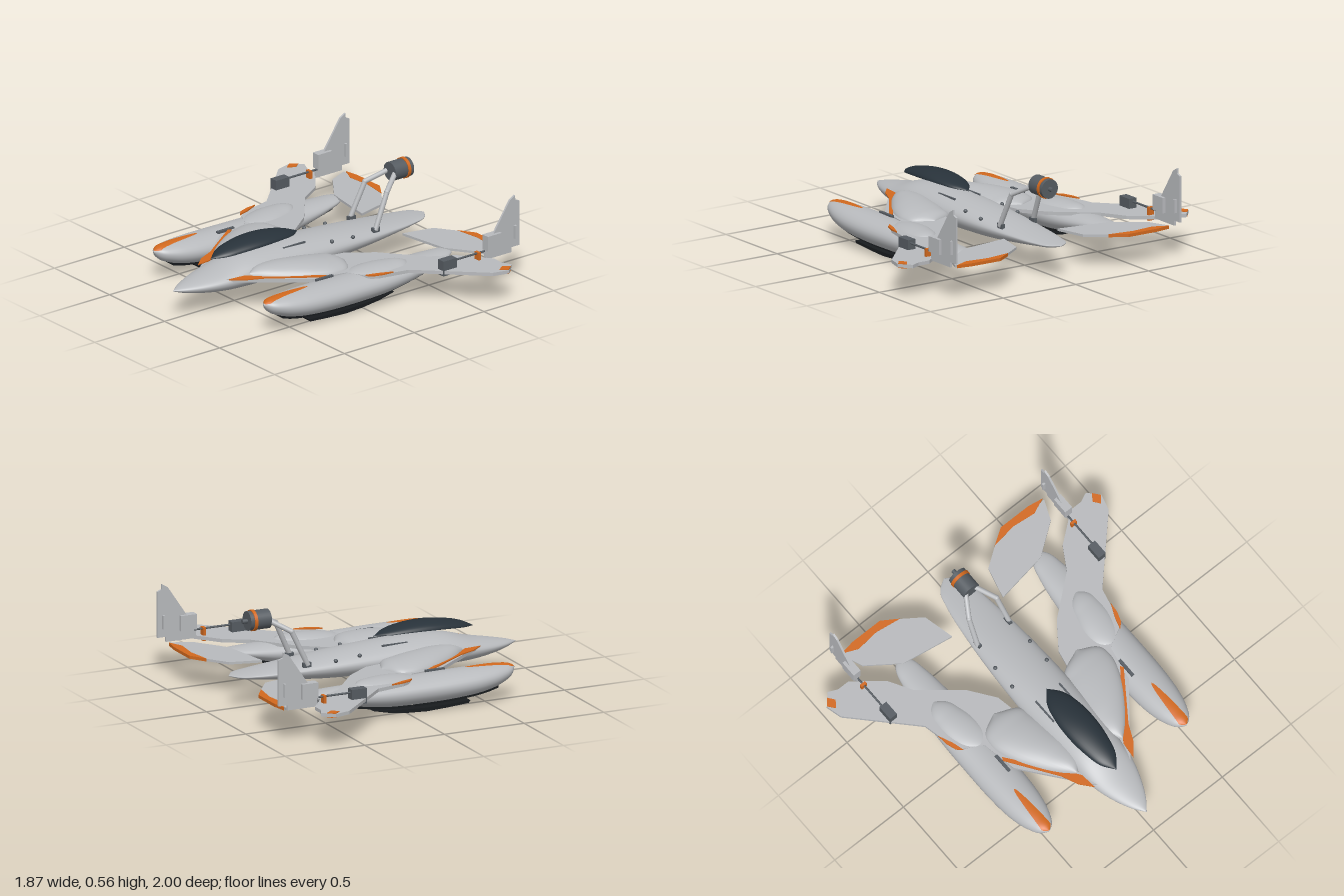
import * as THREE from 'three';

const mat = (name, color) => {
  const m = new THREE.MeshStandardMaterial({ color });
  m.name = name;
  return m;
};

export function createModel() {
  const hull = mat('hull grey', 0xb8babd);
  const orange = mat('marking orange', 0xd2691e);
  const dark = mat('equipment grey', 0x565c62);
  const glass = mat('canopy blue black', 0x28323a);
  const black = mat('skid black', 0x181b1e);
  const model = new THREE.Group();

  const add = (name, geo, m, parent = model) => {
    const mesh = new THREE.Mesh(geo, m);
    mesh.name = name;
    parent.add(mesh);
    return mesh;
  };

  // Smooth interpolation of stations: [x, centreZ, halfWidth, bottomY, midY, topY]
  const sampler = (st) => {
    const ip = new THREE.CubicInterpolant(st.map((s) => s[0]), st.flatMap((s) => s.slice(1)), 5, new Float32Array(5));
    return (x) => {
      const [c, w, b, m, t] = ip.evaluate(x);
      return { c, w: Math.max(w, 0), b, m, t };
    };
  };

  // Elliptical body lofted along x, with separate upper and lower halves
  const loft = (st, rows = 48, cols = 32) => {
    const at = sampler(st), x0 = st[0][0], x1 = st[st.length - 1][0];
    const pos = [], idx = [];
    for (let i = 0; i <= rows; i++) {
      const x = x0 + (x1 - x0) * (0.5 - 0.5 * Math.cos((Math.PI * i) / rows));
      const s = at(x);
      for (let j = 0; j < cols; j++) {
        const a = (j / cols) * Math.PI * 2, sn = Math.sin(a);
        pos.push(x, s.m + sn * (sn > 0 ? s.t - s.m : s.m - s.b), s.c + s.w * Math.cos(a));
        if (i < rows) {
          const k = i * cols + j, n = i * cols + ((j + 1) % cols);
          idx.push(k, k + cols, n, n, k + cols, n + cols);
        }
      }
    }
    const g = new THREE.BufferGeometry();
    g.setAttribute('position', new THREE.Float32BufferAttribute(pos, 3));
    g.setIndex(idx);
    g.computeVertexNormals();
    return g;
  };

  // Lens-shaped marking lying on top of a lofted body
  const lensPatch = (st, x0, x1, half) => {
    const at = sampler(st);
    const g = new THREE.PlaneGeometry(1, 1, 24, 8).rotateX(-Math.PI / 2);
    const p = g.attributes.position;
    for (let i = 0; i < p.count; i++) {
      const u = p.getX(i) + 0.5, x = x0 + (x1 - x0) * u, s = at(x);
      const v = p.getZ(i) * 2 * Math.min(0.8 * s.w, half * Math.sqrt(1 - u));
      p.setXYZ(i, x, s.m + (s.t - s.m) * Math.sqrt(Math.max(0, 1 - (v / Math.max(s.w, 1e-4)) ** 2)) + 0.004, s.c + v);
    }
    g.computeVertexNormals();
    return g;
  };

  const outline = (pts) => new THREE.Shape(pts.map(([x, y]) => new THREE.Vector2(x, y)));
  // Flat plate in the x-z plane, and upright plate in the x-y plane
  const flat = (pts, y, h, side) =>
    new THREE.ExtrudeGeometry(outline(pts.map(([x, z]) => [x, -z * side])), { depth: h, bevelEnabled: false })
      .rotateX(-Math.PI / 2).translate(0, y, 0);
  const upright = (pts, z, d) =>
    new THREE.ExtrudeGeometry(outline(pts), { depth: d, bevelEnabled: false }).translate(0, 0, z - d / 2);
  const box = (x0, x1, y0, y1, z, d) =>
    new THREE.BoxGeometry(x1 - x0, y1 - y0, d).translate((x0 + x1) / 2, (y0 + y1) / 2, z);
  const rodX = (x0, x1, r, y, z, n = 32) =>
    new THREE.CylinderGeometry(r, r, x1 - x0, n).rotateZ(Math.PI / 2).translate((x0 + x1) / 2, y, z);
  const strut = (a, b, r) => {
    const d = new THREE.Vector3().subVectors(b, a);
    const q = new THREE.Quaternion().setFromUnitVectors(new THREE.Vector3(0, 1, 0), d.clone().normalize());
    return new THREE.CylinderGeometry(r, r, d.length(), 14).applyQuaternion(q)
      .translate((a.x + b.x) / 2, (a.y + b.y) / 2, (a.z + b.z) / 2);
  };

  // Fuselage, nose towards -x
  add('fuselage', loft([
    [-0.94, 0, 0, 0.172, 0.174, 0.176], [-0.88, 0, 0.045, 0.153, 0.175, 0.193], [-0.78, 0, 0.095, 0.132, 0.178, 0.213],
    [-0.65, 0, 0.137, 0.115, 0.184, 0.238], [-0.48, 0, 0.16, 0.108, 0.19, 0.285], [-0.3, 0, 0.167, 0.108, 0.195, 0.295],
    [0, 0, 0.164, 0.11, 0.2, 0.282], [0.3, 0, 0.15, 0.122, 0.2, 0.257], [0.55, 0, 0.125, 0.148, 0.2, 0.23],
    [0.72, 0, 0.096, 0.17, 0.198, 0.214], [0.82, 0, 0.058, 0.184, 0.198, 0.205], [0.86, 0, 0, 0.196, 0.198, 0.2],
  ], 64, 40), hull);

  // Canopy hovering above the cockpit
  add('canopy', loft([
    [-0.67, 0, 0, 0.297, 0.3, 0.302], [-0.6, 0, 0.054, 0.306, 0.311, 0.336], [-0.5, 0, 0.082, 0.317, 0.322, 0.36],
    [-0.36, 0, 0.096, 0.325, 0.331, 0.373], [-0.22, 0, 0.085, 0.325, 0.331, 0.363], [-0.12, 0, 0.055, 0.319, 0.323, 0.343],
    [-0.05, 0, 0, 0.313, 0.315, 0.317],
  ]), glass);

  for (const side of [1, -1]) {
    const half = new THREE.Group();
    half.name = side > 0 ? 'leftHalf' : 'rightHalf';
    model.add(half);
    const put = (name, geo, m) => add(name, geo, m, half);
    const z = (v) => v * side;

    // Float pod with nose marking and skids
    const pod = [
      [-0.685, 0, 0.183, 0.185, 0.187], [-0.66, 0.038, 0.145, 0.176, 0.203], [-0.59, 0.078, 0.104, 0.162, 0.213],
      [-0.48, 0.107, 0.074, 0.148, 0.217], [-0.33, 0.121, 0.058, 0.14, 0.217], [-0.05, 0.123, 0.052, 0.138, 0.212],
      [0.15, 0.119, 0.06, 0.14, 0.21], [0.35, 0.104, 0.092, 0.152, 0.207], [0.52, 0.08, 0.133, 0.17, 0.203],
      [0.62, 0.048, 0.162, 0.182, 0.198], [0.665, 0, 0.184, 0.186, 0.188],
    ].map(([x, ...r]) => [x, z(0.5), ...r]);
    put('floatPod', loft(pod), hull);
    put('podNoseMarking', lensPatch(pod, -0.68, -0.37, 0.034), orange);
    const podAt = sampler(pod);
    for (const [a, b] of [[-0.57, -0.05], [-0.02, 0.57]]) {
      const xs = Array.from({ length: 11 }, (_, i) => a + ((b - a) * i) / 10);
      const top = xs.map((x) => [x, podAt(x).b + 0.01]);
      const low = xs.map((x) => [x, podAt(x).b - 0.01]).reverse();
      put('keelStrip', upright([...top, ...low], z(0.5), 0.07), black);
    }
    put('landingSkid', upright([[-0.39, 0.036], [-0.38, 0.022], [-0.25, 0.012], [-0.12, 0.006], [0, 0.012], [0.12, 0.027],
      [0.22, 0.05], [0.1, 0.038], [-0.1, 0.028], [-0.25, 0.03]], z(0.5), 0.08), black);

    // Wing with forward root extension and markings
    put('wing', flat([[-0.65, 0.12], [-0.57, 0.18], [-0.27, 0.42], [-0.06, 0.46], [0, 0.57], [0.06, 0.605], [0.24, 0.645],
      [0.585, 0.975], [0.68, 1], [0.745, 0.94], [0.72, 0.885], [0.72, 0.81], [0.585, 0.64], [0.45, 0.56], [0.26, 0.33],
      [0.11, 0.22], [-0.02, 0.195], [-0.02, 0.1], [-0.5, 0.1]], 0.192, 0.02, side), hull);
    put('rootStripe', flat([[-0.65, 0.14], [-0.58, 0.2], [-0.48, 0.245], [-0.2, 0.44], [-0.18, 0.43], [-0.46, 0.215],
      [-0.55, 0.15]], 0.212, 0.006, side), orange);
    put('leadingEdgeMarking', flat([[-0.01, 0.57], [0.02, 0.602], [0.08, 0.622], [0.145, 0.628], [0.06, 0.59]],
      0.213, 0.008, side), orange);
    for (const y of [0.188, 0.212]) {
      put('wingTipMarking', flat([[0.64, 0.965], [0.68, 0.997], [0.72, 0.965], [0.68, 0.935]], y, 0.004, side), orange);
    }
    put('wingBar', box(-0.27, -0.15, 0.206, 0.22, z(0.45), 0.018), dark);

    // Raised shoulder and pod fairings
    put('shoulderFairing', loft([
      [-0.52, 0.165, 0.012, 0.19, 0.2, 0.23], [-0.46, 0.17, 0.07, 0.19, 0.2, 0.253], [-0.35, 0.2, 0.125, 0.19, 0.2, 0.265],
      [-0.22, 0.25, 0.15, 0.19, 0.2, 0.266], [-0.08, 0.285, 0.15, 0.19, 0.2, 0.256], [0, 0.29, 0.115, 0.19, 0.2, 0.242],
      [0.05, 0.3, 0.01, 0.19, 0.2, 0.215],
    ].map(([x, c, ...r]) => [x, z(c), ...r])), hull);
    put('podFairing', loft([
      [-0.08, 0.48, 0, 0.18, 0.19, 0.2], [-0.02, 0.48, 0.07, 0.18, 0.19, 0.218], [0.08, 0.49, 0.1, 0.18, 0.19, 0.23],
      [0.2, 0.505, 0.092, 0.18, 0.19, 0.232], [0.29, 0.515, 0.06, 0.18, 0.19, 0.224], [0.335, 0.52, 0, 0.18, 0.19, 0.205],
    ].map(([x, c, ...r]) => [x, z(c), ...r])), hull);

    // Tailplane with coloured trailing edge
    put('tailplane', flat([[0.56, 0.185], [0.745, 0.23], [0.83, 0.35], [0.85, 0.5], [0.865, 0.735], [0.745, 0.685],
      [0.61, 0.5]], 0.19, 0.014, side), hull);
    put('tailTrailingEdge', flat([[0.828, 0.345], [0.89, 0.44], [0.89, 0.64], [0.875, 0.73], [0.835, 0.64], [0.85, 0.5]],
      0.188, 0.018, side), orange);

    // Upright fin with its housing, slot and control linkage
    put('fin', upright([[0.685, 0.2], [0.69, 0.26], [0.865, 0.52], [0.9, 0.54], [0.902, 0.51], [0.93, 0.5], [0.93, 0.23],
      [0.875, 0.23], [0.875, 0.2]], z(0.77), 0.012), hull);
    put('finHousing', box(0.69, 0.79, 0.255, 0.345, z(0.77), 0.05), hull);
    put('finSlot', box(0.889, 0.901, 0.28, 0.36, z(0.77), 0.045), hull);
    put('actuatorBox', box(0.38, 0.475, 0.18, 0.27, z(0.76), 0.05), dark);
    put('controlRod', rodX(0.47, 0.7, 0.006, 0.25, z(0.765), 10), dark);
    put('rodClamp', box(0.633, 0.65, 0.18, 0.258, z(0.765), 0.036), orange);

    // Engine struts
    const p = [[0.42, 0.235, 0.115], [0.515, 0.44, 0.1], [0.63, 0.505, 0.03]].map(([a, b, c]) => new THREE.Vector3(a, b, z(c)));
    put('lowerStrut', strut(p[0], p[1], 0.015), hull);
    put('strutElbow', new THREE.SphereGeometry(0.016, 14, 10).translate(p[1].x, p[1].y, p[1].z), hull);
    put('upperStrut', strut(p[1], p[2], 0.015), hull);
    put('strutFoot', box(0.4, 0.45, 0.222, 0.25, z(0.11), 0.022), dark);

    // Deck fittings and canopy rail
    for (const x of [0.1, 0.25]) {
      put('deckFitting', new THREE.SphereGeometry(0.012, 12, 8).translate(x, x < 0.2 ? 0.252 : 0.24, z(0.126)), dark);
    }
    put('canopyRail', box(-0.22, -0.06, 0.268, 0.282, z(0.085), 0.01), dark);
  }

  // Rear engine above the deck
  add('engineBody', rodX(0.615, 0.745, 0.056, 0.505, 0), dark);
  add('engineBand', rodX(0.703, 0.722, 0.061, 0.505, 0), orange);
  add('engineShaft', rodX(0.74, 0.776, 0.013, 0.505, 0, 16), dark);

  return model;
}
